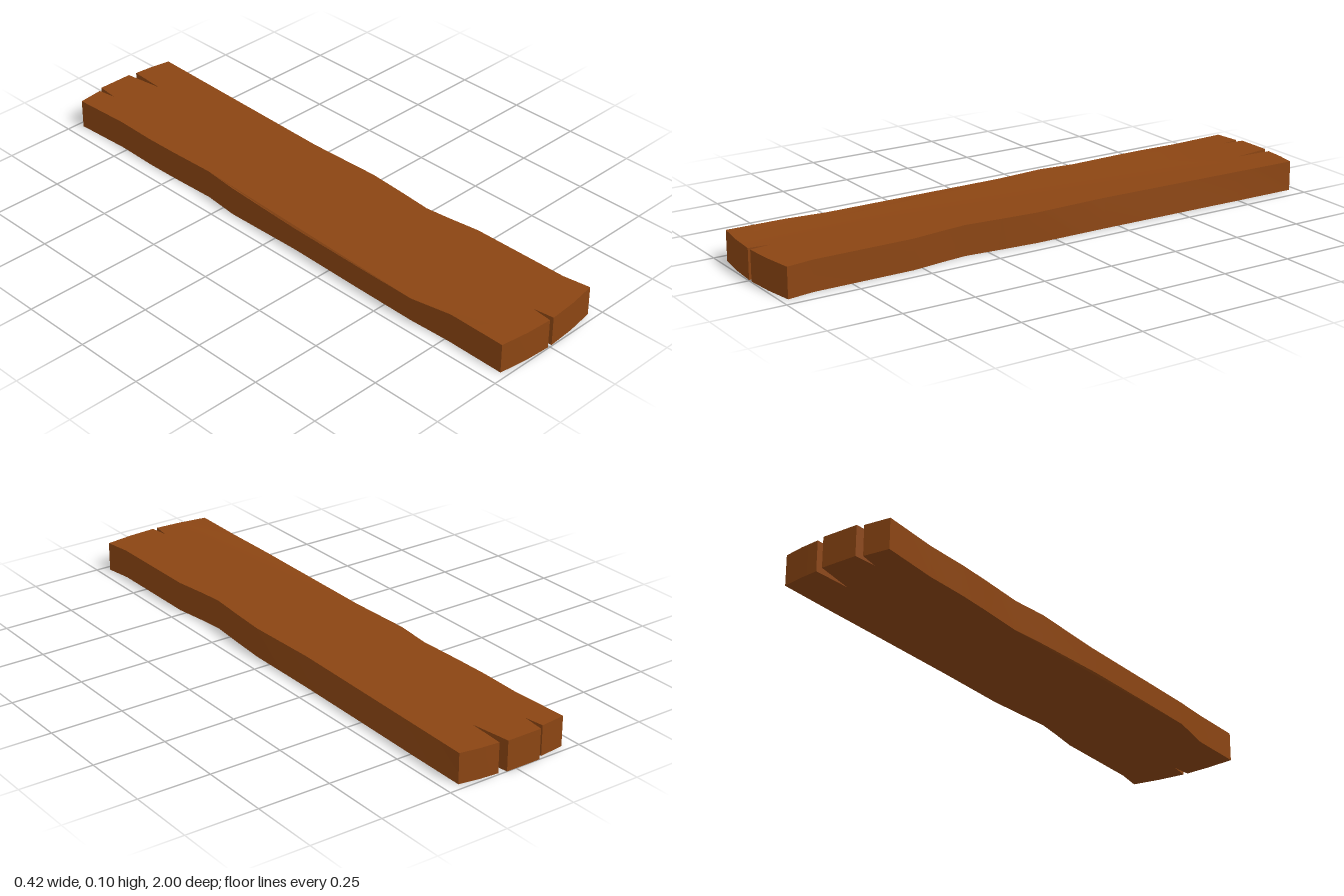
import * as THREE from 'three';
import { toCreasedNormals } from 'three/addons/utils/BufferGeometryUtils.js';

const HEIGHT = 0.103;

// Plank outline as [x, z], one run per side
const backEnd = [[-0.2, -0.977], [-0.11, -0.987], [-0.1, -0.92], [-0.092, -1], [0.035, -1],
  [0.055, -0.86], [0.063, -0.993], [0.13, -0.987], [0.2, -0.975]];
const leftEdge = [[0.198, -0.75], [0.194, -0.5], [0.19, -0.2], [0.19, 0.07], [0.181, 0.2], [0.17, 0.33],
  [0.18, 0.42], [0.195, 0.53], [0.196, 0.88]];
const frontEnd = [[0.21, 0.975], [0.11, 0.99], [0.011, 0.997], [0.002, 0.925], [-0.006, 0.997],
  [-0.1, 0.991], [-0.2, 0.977]];
const rightEdge = [[-0.197, 0.77], [-0.213, 0.62], [-0.21, 0.4], [-0.204, 0.1], [-0.199, -0.2],
  [-0.186, -0.33], [-0.192, -0.5], [-0.194, -0.62], [-0.19, -0.77]];

function createPlankGeometry() {
  const outline = [...backEnd, ...leftEdge, ...frontEnd, ...rightEdge];
  const shape = new THREE.Shape(outline.map(([x, z]) => new THREE.Vector2(x, -z)));
  const geometry = new THREE.ExtrudeGeometry(shape, { depth: HEIGHT, bevelEnabled: false });
  geometry.rotateX(-Math.PI / 2);

  // Uneven sides: the top edge leans in towards the back left, the bulge is thinner
  const p = geometry.attributes.position;
  for (let i = 0; i < p.count; i++) {
    const x = p.getX(i), y = p.getY(i), z = p.getZ(i);
    const top = y > HEIGHT / 2;
    if (top && x > 0.15 && z > -0.9 && z < 0) p.setX(i, x - 0.008);
    if (x < -0.203) p.setY(i, top ? 0.092 : 0.011);
  }
  return toCreasedNormals(geometry, 0.5);
}

export function createModel() {
  const group = new THREE.Group();
  group.name = 'woodenPlank';
  const wood = new THREE.MeshStandardMaterial({ color: 0x8b4513 });
  const plank = new THREE.Mesh(createPlankGeometry(), wood);
  plank.name = 'plank';
  group.add(plank);
  return group;
}
